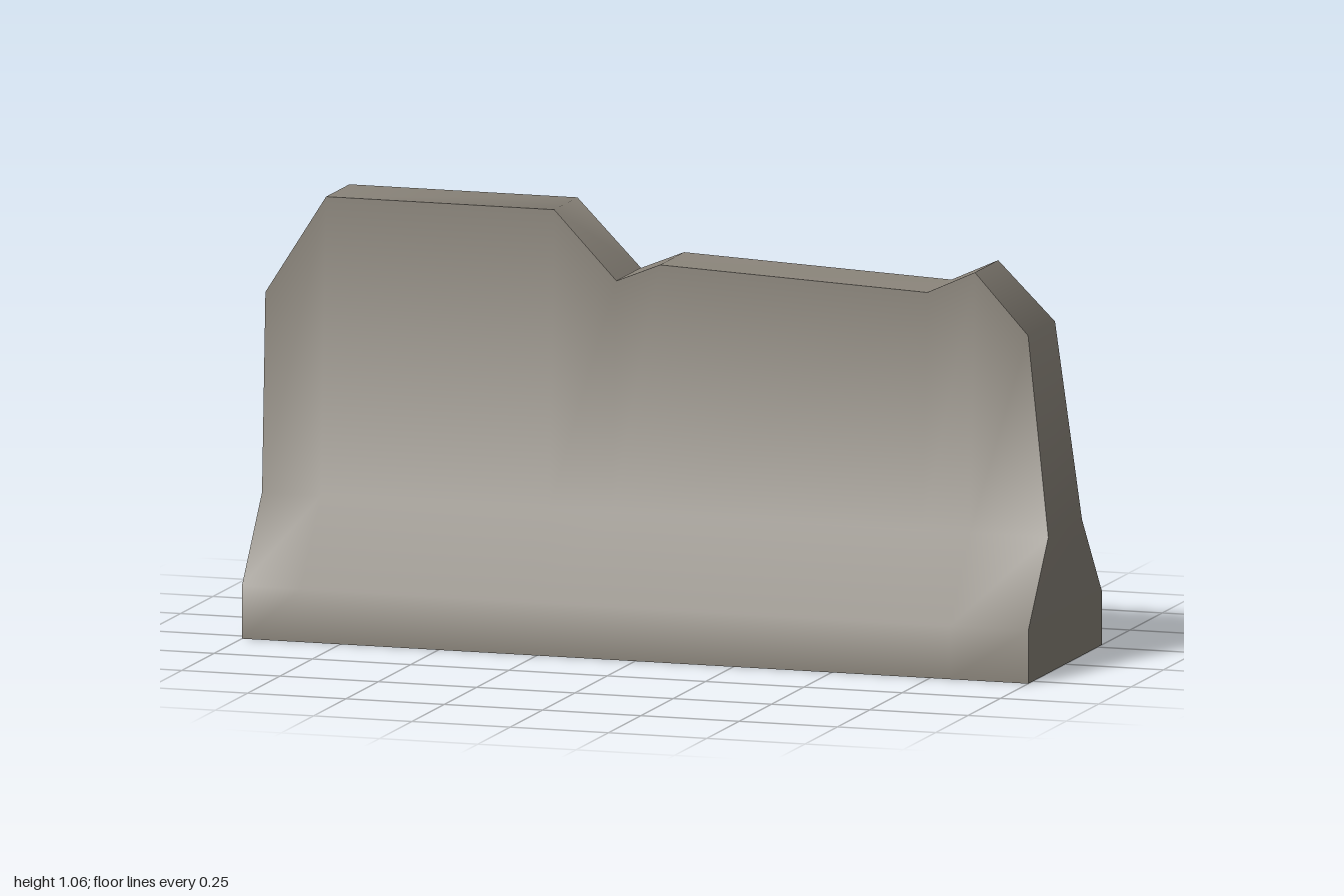
import * as THREE from 'three';
import { toCreasedNormals } from 'three/addons/utils/BufferGeometryUtils.js';

// Cross-sections along the barrier: [x at base, x at top, top height, top half width]
const sections = [
  [-1, -1, 0.82, 0.104],
  [-0.85, -0.85, 1.06, 0.09],
  [-0.27, -0.27, 1.06, 0.09],
  [-0.11, -0.11, 0.895, 0.095],
  [0, 0, 0.94, 0.093],
  [0.68, 0.68, 0.91, 0.094],
  [0.8, 0.8, 0.965, 0.09],
  [1, 0.94, 0.82, 0.104],
];

// Flared foot shared by every section: [height, half width]
const foot = [[0, 0.285], [0.13, 0.285], [0.333, 0.13]];

function barrierGeometry() {
  const positions = [];
  const index = [];
  const quad = (a, b, c, d) => index.push(a, b, c, a, c, d);

  // Each ring climbs the front face and comes down the back
  for (const [baseX, topX, topY, topHalf] of sections) {
    const front = foot.map(([y, half]) => [baseX, y, half]);
    front.push([topX, topY, topHalf]);
    const back = front.map(([x, y, z]) => [x, y, -z]).reverse();
    positions.push(...front.flat(), ...back.flat());
  }

  // Walls, broken top and underside
  for (let i = 0; i < sections.length - 1; i++) {
    for (let j = 0; j < 8; j++) {
      const k = (j + 1) % 8;
      quad(i * 8 + j, i * 8 + 8 + j, i * 8 + 8 + k, i * 8 + k);
    }
  }

  // End faces
  const last = (sections.length - 1) * 8;
  for (let j = 0; j < 3; j++) {
    quad(last + j, last + 7 - j, last + 6 - j, last + j + 1);
    quad(7 - j, j, j + 1, 6 - j);
  }

  const geometry = new THREE.BufferGeometry();
  geometry.setAttribute('position', new THREE.Float32BufferAttribute(positions, 3));
  geometry.setIndex(index);
  return toCreasedNormals(geometry, THREE.MathUtils.degToRad(50));
}

export function createModel() {
  const concrete = new THREE.MeshStandardMaterial({ color: 0x8a847a });
  concrete.name = 'concrete';

  const barrier = new THREE.Mesh(barrierGeometry(), concrete);
  barrier.name = 'brokenBarrier';

  const model = new THREE.Group();
  model.name = 'concreteBarrier';
  model.add(barrier);
  return model;
}
